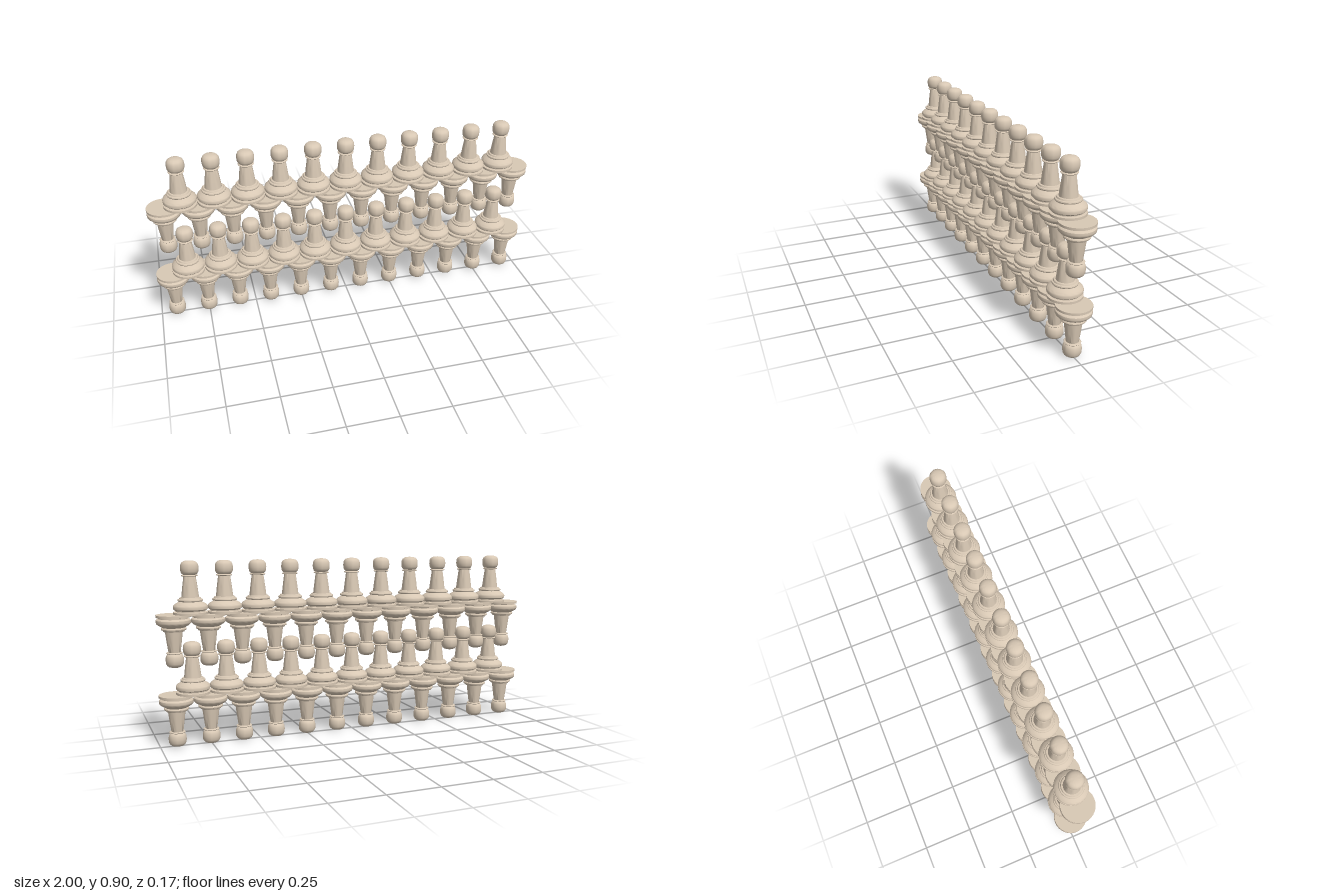
import * as THREE from 'three';
import { toCreasedNormals } from 'three/addons/utils/BufferGeometryUtils.js';

const HEIGHT = 0.2567;   // one pawn
const PITCH = 1 / 6;     // spacing along a row
const ROW_RISE = 0.39;   // second row above the first

// Turned pawn profile, from the flat base up to the head: [radius, y]
function pawnGeometry() {
  const profile = [
    [0, 0], [0.083, 0], [0.083, 0.011],                                   // foot disc
    [0.07, 0.013], [0.07, 0.018],                                         // groove
    [0.077, 0.02], [0.082, 0.025], [0.083, 0.035], [0.081, 0.042],        // bulge
    [0.074, 0.049], [0.062, 0.056], [0.053, 0.061],
    [0.058, 0.062], [0.0605, 0.067], [0.059, 0.072], [0.053, 0.074],      // ring
    [0.05, 0.08], [0.042, 0.081],
    [0.036, 0.13], [0.029, 0.181],                                        // tapered body
    [0.037, 0.182], [0.0395, 0.185], [0.037, 0.188],                      // collar
    [0.031, 0.189],
    [0.038, 0.195], [0.042, 0.204], [0.0435, 0.219], [0.042, 0.236],      // head
    [0.037, 0.246], [0.029, 0.252], [0.018, 0.2555], [0, HEIGHT],
  ].map(([r, y]) => new THREE.Vector2(r, y));
  return toCreasedNormals(new THREE.LatheGeometry(profile, 32), 0.6);
}

export function createModel() {
  const model = new THREE.Group();
  model.name = 'pawnLattice';
  const material = new THREE.MeshStandardMaterial({ color: 0xd8c8b4 });
  const geometry = pawnGeometry();

  // A centred line of pawns whose bases rest on the plane y
  function addLine(parent, name, count, y, inverted) {
    const line = new THREE.Group();
    line.name = name;
    for (let i = 0; i < count; i++) {
      const pawn = new THREE.Mesh(geometry, material);
      pawn.name = inverted ? 'invertedPawn' : 'uprightPawn';
      pawn.position.set((i - (count - 1) / 2) * PITCH, y, 0);
      if (inverted) pawn.rotation.x = Math.PI;
      line.add(pawn);
    }
    parent.add(line);
  }

  // Two rows, each with hanging pawns and upright ones staggered between them
  ['lowerRow', 'upperRow'].forEach((name, i) => {
    const row = new THREE.Group();
    row.name = name;
    row.position.y = i * ROW_RISE;
    addLine(row, 'hangingPawns', 12, HEIGHT, true);
    addLine(row, 'standingPawns', 11, HEIGHT, false);
    model.add(row);
  });
  return model;
}
